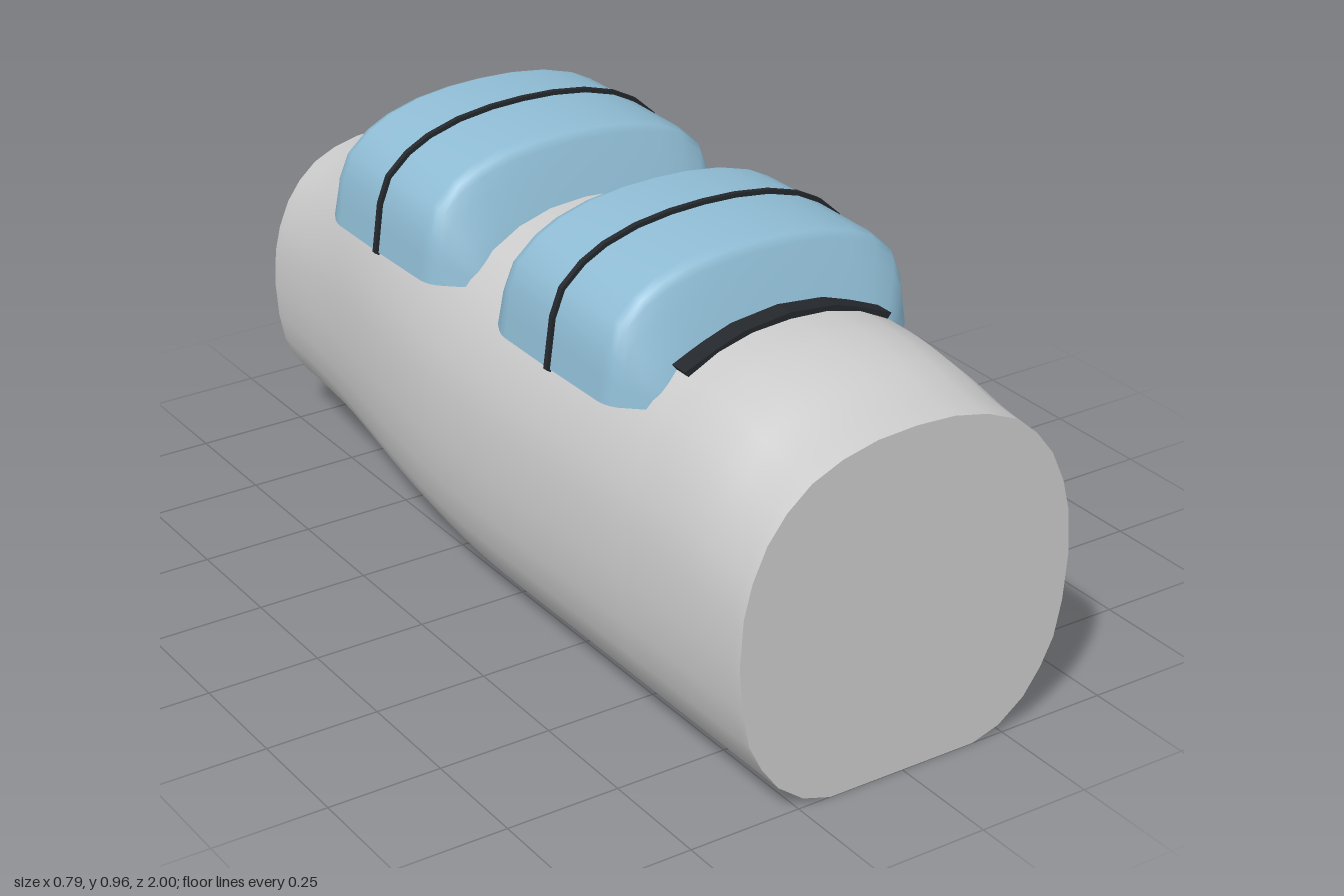
import * as THREE from 'three';

const GREY = new THREE.MeshStandardMaterial({ color: 0xcccccc });
const GLASS = new THREE.MeshStandardMaterial({ color: 0x8fbcd4, side: THREE.DoubleSide });
const FRAME = new THREE.MeshStandardMaterial({ color: 0x24282c });

function mesh(name, geometry, material) {
  const m = new THREE.Mesh(geometry, material);
  m.name = name;
  return m;
}

// Mirror a half outline (given from +x side to the centre line) to the -x side
function mirrored(half) {
  return [...half, ...half.filter(p => p[0] > 0).reverse().map(([x, y]) => [-x, y])];
}

// Skin a list of sections running from +z to -z, each a list of [x, y, z]
function loft(sections, closed) {
  const n = sections[0].length, index = [];
  for (let i = 0; i < sections.length - 1; i++) {
    for (let j = 0; j < (closed ? n : n - 1); j++) {
      const k = (j + 1) % n;
      const a = i * n + j, b = i * n + k, c = a + n, d = b + n;
      index.push(a, c, b, b, c, d);
    }
  }
  const g = new THREE.BufferGeometry();
  g.setAttribute('position', new THREE.Float32BufferAttribute(sections.flat(2), 3));
  g.setIndex(index);
  g.computeVertexNormals();
  return g;
}

// Thin arched strip: outer outline pts, reduced by thickness, from z0 to z1
function band(pts, thickness, z0, z1) {
  const cy = 0.45;
  const inner = pts.map(([x, y]) => {
    const k = 1 - thickness / Math.hypot(x, y - cy);
    return [x * k, cy + (y - cy) * k];
  });
  const shape = new THREE.Shape([...pts, ...inner.reverse()].map(p => new THREE.Vector2(...p)));
  return new THREE.ExtrudeGeometry(shape, { depth: z1 - z0, bevelEnabled: false }).translate(0, 0, z0);
}

// Fuselage: a flat-bottomed oval whose width, top and bottom vary along z
const HULL = [[0.175, 0], [0.24, 0.02], [0.3, 0.065], [0.34, 0.12], [0.37, 0.18], [0.387, 0.26],
  [0.395, 0.36], [0.388, 0.46], [0.37, 0.53], [0.338, 0.6], [0.295, 0.655], [0.24, 0.7],
  [0.17, 0.73], [0.09, 0.748], [0, 0.753]];

function hullSection(w, top, z) {
  const t = Math.min(1, Math.max(0, -z));
  const bottom = 0.07 * t * t * (3 - 2 * t), mid = 0.36;
  return mirrored(HULL).map(([x, y]) => [
    x * w / 0.395,
    y > mid ? mid + (y - mid) * (top - mid) / 0.393 : mid + (y - mid) * (mid - bottom) / mid,
    z,
  ]);
}

function fuselage() {
  const g = new THREE.Group();
  g.name = 'fuselage';
  const line = new THREE.CatmullRomCurve3([
    [0.395, 0.753, 1], [0.395, 0.768, 0.9], [0.395, 0.797, 0.8], [0.395, 0.813, 0.7],
    [0.395, 0.815, 0.6], [0.395, 0.815, 0.3], [0.395, 0.815, 0], [0.386, 0.815, -0.2],
    [0.365, 0.813, -0.4], [0.336, 0.8, -0.6], [0.316, 0.758, -0.75], [0.304, 0.706, -0.9],
    [0.298, 0.682, -1]].map(p => new THREE.Vector3(...p)));
  const sections = line.getPoints(48).map(p => hullSection(p.x, p.y, p.z));
  g.add(mesh('fuselageSkin', loft(sections, true), GREY));
  // flat end faces
  for (const [name, s, side] of [['frontBulkhead', sections[0], 1], ['rearBulkhead', sections.at(-1), -1]]) {
    const shape = new THREE.Shape(s.map(p => new THREE.Vector2(p[0], p[1])));
    const cap = mesh(name, new THREE.ShapeGeometry(shape), GREY);
    cap.position.z = side;
    if (side < 0) cap.rotation.y = Math.PI;
    g.add(cap);
  }
  return g;
}

// Canopy arch, scaled to a half width and a top height above the sill
const SILL = 0.685;
const ARCH = [[1, 0], [0.98, 0.2], [0.96, 0.4], [0.9, 0.61], [0.77, 0.77], [0.63, 0.87],
  [0.43, 0.95], [0.21, 0.99], [0, 1]];
const arch = (w, top) => mirrored(ARCH).map(([x, y]) => [x * w, SILL + y * (top - SILL)]);

function canopy(name, z) {
  const g = new THREE.Group();
  g.name = name;
  // stations: z from the hoop, half width, top
  const stations = [[0.27, 0.285, 0.75], [0.25, 0.315, 0.815], [0.22, 0.348, 0.885], [0.205, 0.358, 0.925],
    [0.195, 0.362, 0.942], [0.175, 0.365, 0.95], [0, 0.367, 0.951], [-0.165, 0.365, 0.95],
    [-0.185, 0.362, 0.942], [-0.2, 0.357, 0.922], [-0.23, 0.342, 0.855], [-0.265, 0.312, 0.805],
    [-0.3, 0.287, 0.765]];
  const sections = stations.map(([dz, w, top]) => arch(w, top).map(p => [...p, dz]));
  g.add(mesh('canopyGlass', loft(sections, false), GLASS));
  g.add(mesh('centreHoop', band(arch(0.375, 0.96), 0.012, -0.006, 0.006), FRAME));
  g.add(mesh('rearFrame', band(arch(0.29, 0.77), 0.012, -0.304, -0.294), FRAME));
  g.position.z = z;
  return g;
}

export function createModel() {
  const model = new THREE.Group();
  model.name = 'fuselageWithCanopies';
  model.add(fuselage(), canopy('frontCanopy', 0.3), canopy('rearCanopy', -0.38));

  // strip lying on the fuselage ahead of the front canopy
  const front = mirrored([[0.248, 0.765], [0.175, 0.795], [0.11, 0.817], [0, 0.829]]);
  model.add(mesh('windscreenFrame', band(front, 0.018, 0.555, 0.6), FRAME));

  // sill around the rear cockpit opening: arch across the back and two side rails
  const rear = mirrored([[0.285, 0.655], [0.245, 0.705], [0.19, 0.752], [0.11, 0.783], [0, 0.796]]);
  model.add(mesh('rearSill', band(rear, 0.018, -0.665, -0.635), FRAME));
  for (const side of [1, -1]) {
    const path = new THREE.LineCurve3(
      new THREE.Vector3(side * 0.31, 0.679, -0.33), new THREE.Vector3(side * 0.277, 0.66, -0.665));
    model.add(mesh(side > 0 ? 'leftSillRail' : 'rightSillRail', new THREE.TubeGeometry(path, 1, 0.011, 6), FRAME));
  }
  return model;
}
